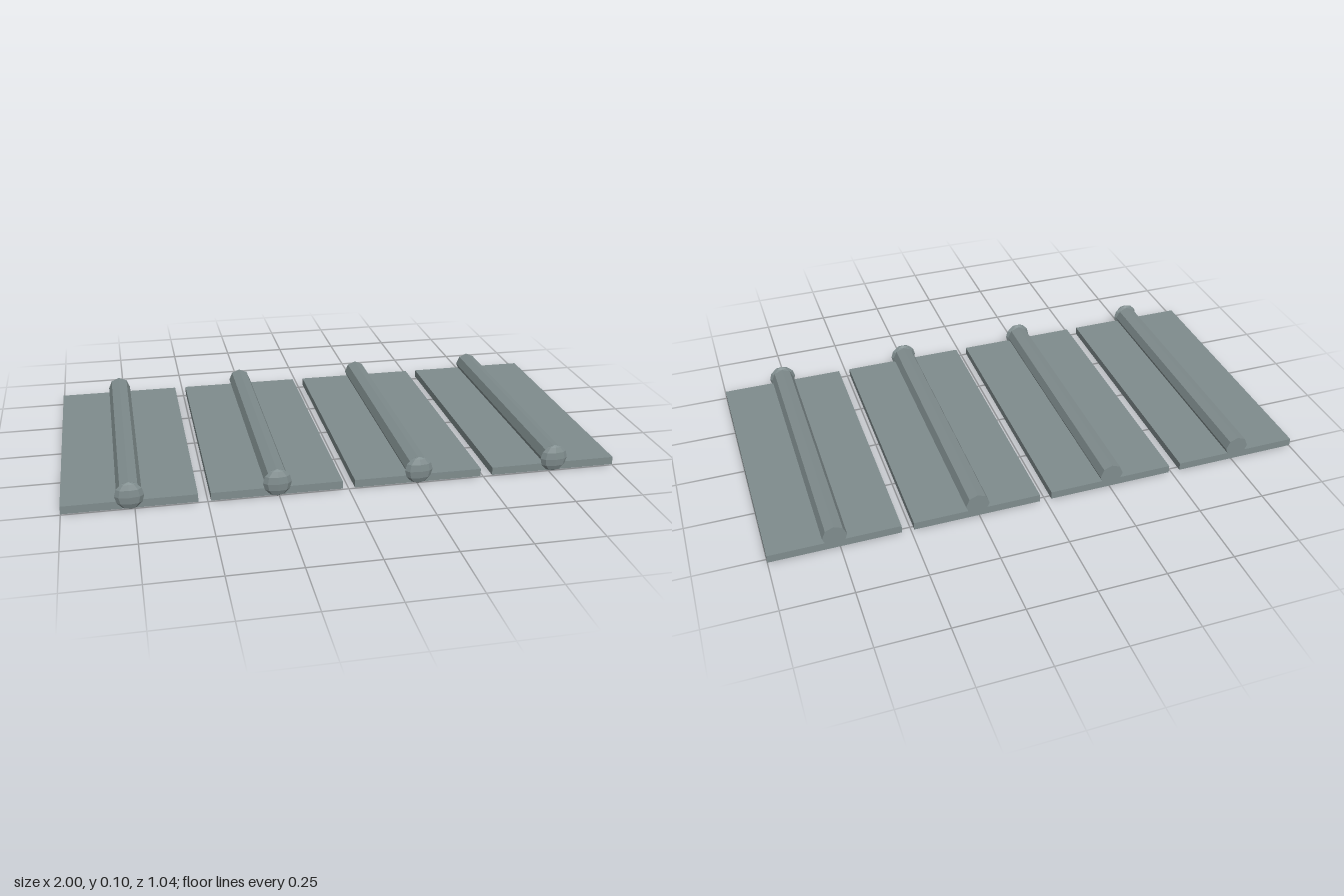
import * as THREE from 'three';

const PANEL_W = 0.467, PANEL_H = 0.029, PANEL_Y = 0.0175, PITCH = 0.511;
const BACK = -0.52, FRONT = 0.5;
const LENGTH = FRONT - BACK, MID_Z = (FRONT + BACK) / 2;
const ROD_Y = 0.051, ROD_R = 0.0435, CAP_R = 0.051;

export function createModel() {
  const group = new THREE.Group();
  const material = new THREE.MeshStandardMaterial({ color: 0x7f8c8d, flatShading: true });

  // Flat panel
  const panelGeo = new THREE.BoxGeometry(PANEL_W, PANEL_H, LENGTH);

  // Eight-sided rod along z, with a corner on top
  const rodGeo = new THREE.CylinderGeometry(ROD_R, ROD_R, LENGTH, 8).rotateX(Math.PI / 2);

  // Flattened faceted cap on the front end of the rod
  const capGeo = new THREE.SphereGeometry(1, 8, 6).scale(CAP_R, CAP_R, 0.021);

  const add = (parent, name, geometry, y, z) => {
    const mesh = new THREE.Mesh(geometry, material);
    mesh.name = name;
    mesh.position.set(0, y, z);
    parent.add(mesh);
  };

  // Four identical sections side by side
  for (let i = 0; i < 4; i++) {
    const section = new THREE.Group();
    section.name = `section${i + 1}`;
    section.position.x = (i - 1.5) * PITCH;
    add(section, 'panel', panelGeo, PANEL_Y, MID_Z);
    add(section, 'rod', rodGeo, ROD_Y, MID_Z);
    add(section, 'endCap', capGeo, ROD_Y, FRONT);
    group.add(section);
  }
  return group;
}
